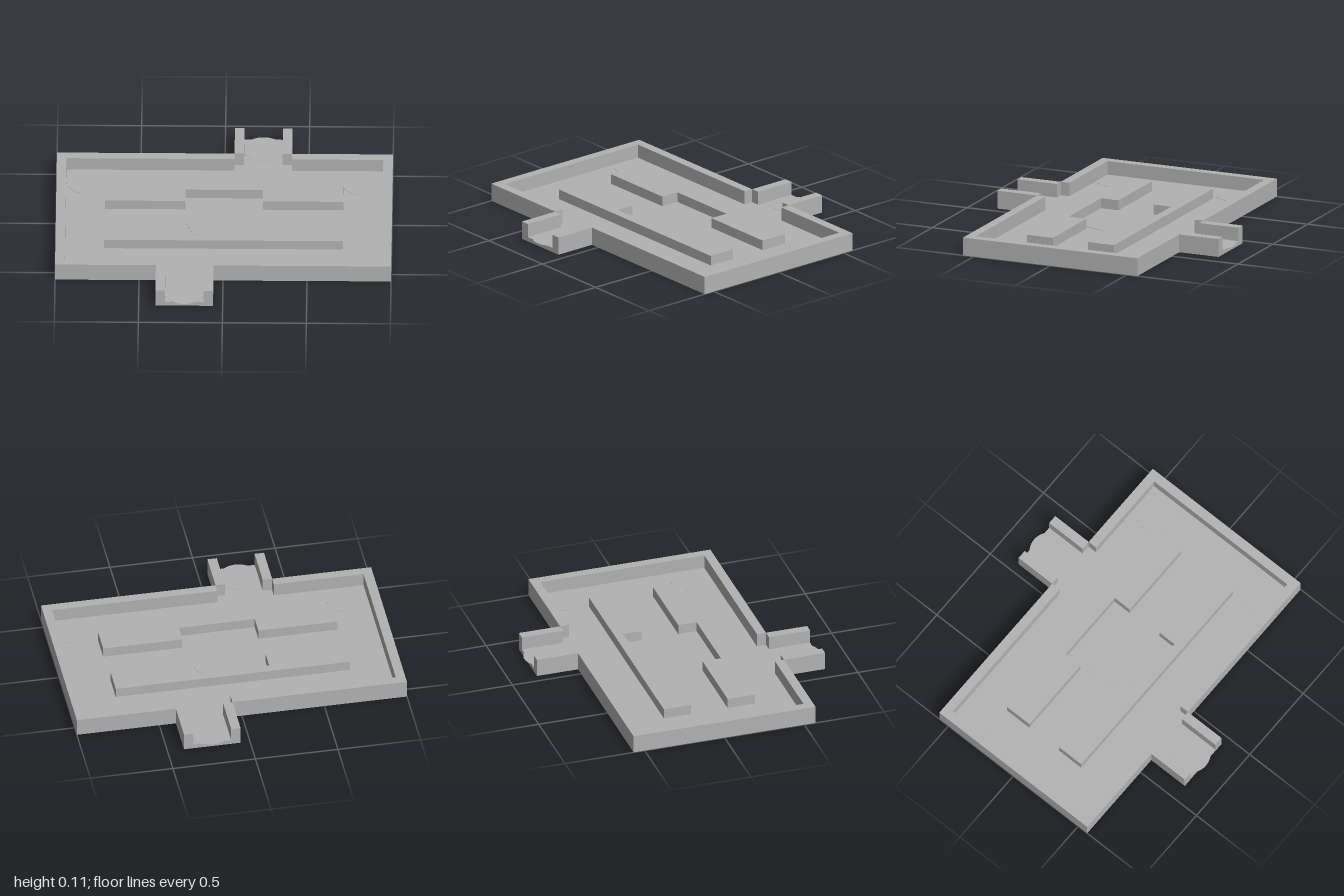
import * as THREE from 'three';

const grey = new THREE.MeshStandardMaterial({ color: 0xb2b2b2 });
grey.name = 'plain grey';

const W = 1, D = 0.57, END = 0.828;      // half width, half depth, reach of the gateways
const T = 0.057, FLOOR = 0.027, TOP = 0.11; // wall thickness, floor and wall heights
const BLOCK_TOP = 0.088;
const GATE_IN = 0.057, GATE_OUT = 0.4;   // sides of the gateway, measured along x

// Box given by its extents
function box(parent, name, x0, x1, y0, y1, z0, z1) {
  const geo = new THREE.BoxGeometry(x1 - x0, y1 - y0, z1 - z0);
  const mesh = new THREE.Mesh(geo, grey);
  mesh.position.set((x0 + x1) / 2, (y0 + y1) / 2, (z0 + z1) / 2);
  mesh.name = name;
  parent.add(mesh);
}

// Thin round marker lying on the floor
function pad(parent, name, x, z, r) {
  const mesh = new THREE.Mesh(new THREE.CylinderGeometry(r, r, 0.002, 48), grey);
  mesh.position.set(x, FLOOR + 0.0005, z);
  mesh.name = name;
  parent.add(mesh);
}

// One half of the arena; the other is the same turned half way round
function buildHalf() {
  const half = new THREE.Group();

  // Outer walls, with a gap for the gateway
  box(half, 'sideWall', -W, -W + T, FLOOR, TOP, -D + T, D);
  box(half, 'frontWallLong', -GATE_IN, W, FLOOR, TOP, D - T, D);
  box(half, 'frontWallShort', -W + T, -GATE_OUT, FLOOR, TOP, D - T, D);

  // Gateway floor and its two walls
  box(half, 'gatewayFloor', -GATE_OUT, -GATE_IN, 0, FLOOR, D, END);
  box(half, 'gatewayWallOuter', -GATE_OUT, -GATE_OUT + T, FLOOR, TOP, D, END);
  box(half, 'gatewayWallInner', -GATE_IN - T, -GATE_IN, FLOOR, TOP, D, END);

  // Long barrier with a recess facing the centre
  const outline = [[-0.71, 0.285], [-0.71, 0.115], [-0.23, 0.115], [-0.23, 0.23],
    [0.23, 0.23], [0.23, 0.115], [0.71, 0.115], [0.71, 0.285]];
  const shape = new THREE.Shape(outline.map(([x, z]) => new THREE.Vector2(x, -z)));
  const geo = new THREE.ExtrudeGeometry(shape, { depth: BLOCK_TOP - FLOOR, bevelEnabled: false });
  geo.rotateX(-Math.PI / 2);
  const barrier = new THREE.Mesh(geo, grey);
  barrier.position.y = FLOOR;
  barrier.name = 'barrier';
  half.add(barrier);

  // Round markers in the corners and the gateway
  for (const x of [-0.82, 0.82]) pad(half, 'cornerPad', x, 0.39, 0.122);
  pad(half, 'gatewayPad', -0.2285, 0.728, 0.122);
  return half;
}

export function createModel() {
  const model = new THREE.Group();
  model.name = 'arena';
  box(model, 'floor', -W, W, 0, FLOOR, -D, D);
  pad(model, 'centrePad', 0, 0, 0.225);

  const front = buildHalf();
  front.name = 'frontHalf';
  const back = buildHalf();
  back.name = 'backHalf';
  back.rotation.y = Math.PI;
  model.add(front, back);
  return model;
}
